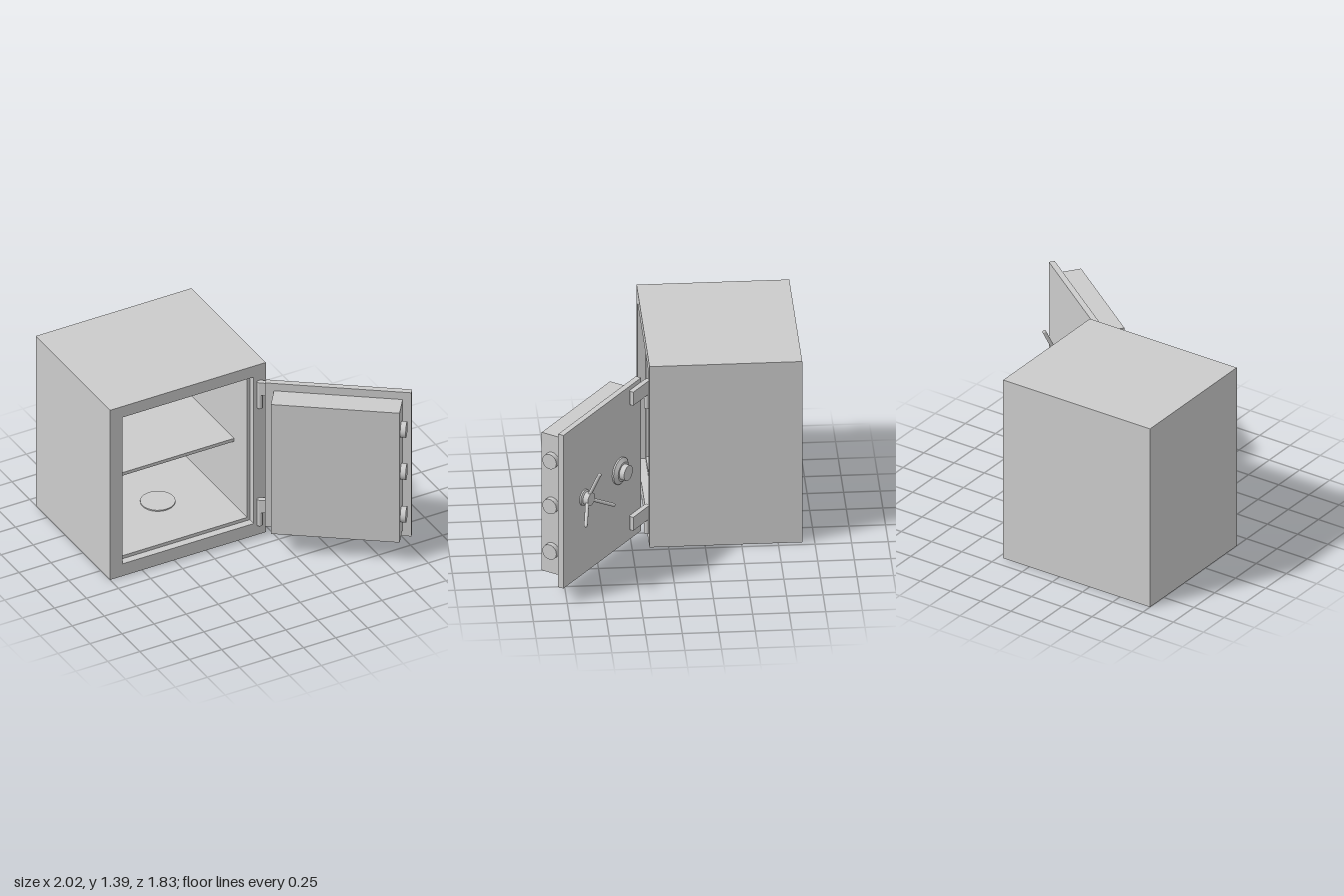
import * as THREE from 'three';

const material = new THREE.MeshStandardMaterial({ color: 0xcccccc });

function add(parent, name, geometry, x = 0, y = 0, z = 0) {
  const mesh = new THREE.Mesh(geometry, material);
  mesh.name = name;
  mesh.position.set(x, y, z);
  parent.add(mesh);
  return mesh;
}

// Box given by its minimum and maximum corners
function block(parent, name, [x0, y0, z0], [x1, y1, z1]) {
  return add(parent, name, new THREE.BoxGeometry(x1 - x0, y1 - y0, z1 - z0),
    (x0 + x1) / 2, (y0 + y1) / 2, (z0 + z1) / 2);
}

function rectangle(path, x0, y0, x1, y1) {
  return path.moveTo(x0, y0).lineTo(x1, y0).lineTo(x1, y1).lineTo(x0, y1).closePath();
}

// Rectangular ring of the cabinet, from z0 to z1, with an opening
function ring(parent, name, hole, z0, z1) {
  const shape = rectangle(new THREE.Shape(), -1, 0, 0.215, 1.39);
  shape.holes.push(rectangle(new THREE.Path(), ...hole));
  add(parent, name, new THREE.ExtrudeGeometry(shape, { depth: z1 - z0, bevelEnabled: false }), 0, 0, z0);
}

// Turned part on the door's outer face, its axis pointing away from the door
function turned(parent, name, profile, x, y) {
  const points = profile.map(([r, h]) => new THREE.Vector2(r, h));
  // each profile section is its own lathe so that the edges stay sharp
  const group = new THREE.Group();
  group.name = name;
  for (let i = 0; i < points.length - 1; i++) {
    add(group, name + 'Section', new THREE.LatheGeometry([points[i], points[i + 1]], 32));
  }
  group.position.set(x, y, 0);
  group.rotation.x = -Math.PI / 2;
  parent.add(group);
}

function rod(parent, name, a, b, radius) {
  const dir = b.clone().sub(a);
  const mesh = add(parent, name, new THREE.CylinderGeometry(radius, radius, dir.length(), 14));
  mesh.position.copy(a).add(b).multiplyScalar(0.5);
  mesh.quaternion.setFromUnitVectors(new THREE.Vector3(0, 1, 0), dir.normalize());
}

function buildCabinet() {
  const cabinet = new THREE.Group();
  cabinet.name = 'cabinet';
  ring(cabinet, 'doorRebate', [-0.905, 0.1, 0.12, 1.3], 0.075, 0.13);
  ring(cabinet, 'walls', [-0.885, 0.125, 0.1, 1.275], -0.84, 0.075);
  block(cabinet, 'backWall', [-1, 0, -0.915], [0.215, 1.39, -0.84]);
  block(cabinet, 'shelf', [-0.885, 0.64, -0.84], [0.1, 0.665, -0.11]);
  add(cabinet, 'floorCover', new THREE.CylinderGeometry(0.12, 0.12, 0.01, 32), -0.34, 0.129, -0.39);
  return cabinet;
}

// Door frame: x runs from the hinge edge to the free edge, z towards the inside
function buildDoor() {
  const door = new THREE.Group();
  door.name = 'door';
  block(door, 'doorPlate', [0, 0.115, 0], [1.005, 1.292, 0.042]);
  block(door, 'doorCore', [0.06, 0.172, 0.042], [0.945, 1.232, 0.212]);

  // Locking bolts on the free edge
  for (const y of [0.35, 0.7, 1.045]) {
    const bolt = add(door, 'lockingBolt', new THREE.CylinderGeometry(0.056, 0.056, 0.038, 32), 0.964, y, 0.127);
    bolt.rotation.z = -Math.PI / 2;
  }

  // Combination dial
  turned(door, 'dial', [[0.097, 0], [0.097, 0.012], [0.07, 0.032], [0.056, 0.032], [0.056, 0.07], [0, 0.07]], 0.278, 0.7);

  // Three-spoke handle
  turned(door, 'handleHub', [[0.058, 0], [0.058, 0.012], [0.046, 0.02], [0.046, 0.06], [0, 0.06]], 0.74, 0.7);
  for (let i = 0; i < 3; i++) {
    const angle = Math.PI / 2 + i * Math.PI * 2 / 3;
    const at = (r, z) => new THREE.Vector3(0.74 + r * Math.cos(angle), 0.7 + r * Math.sin(angle), z);
    rod(door, 'handleSpoke', at(0.02, -0.038), at(0.207, -0.126), 0.013);
    add(door, 'spokeTip', new THREE.SphereGeometry(0.013, 14, 10)).position.copy(at(0.207, -0.126));
  }

  // Hinges: rounded strap on the outer face with a pin below
  for (const y of [0.195, 1.157]) {
    const strap = new THREE.Shape();
    strap.moveTo(-0.045, 0).lineTo(0.15, 0).lineTo(0.16, 0.01).lineTo(0.16, 0.036).lineTo(-0.045, 0.036);
    strap.absarc(-0.045, 0.018, 0.018, Math.PI / 2, Math.PI * 1.5, false);
    const geometry = new THREE.ExtrudeGeometry(strap, { depth: 0.103, bevelEnabled: false, curveSegments: 12 });
    geometry.rotateX(-Math.PI / 2);
    add(door, 'hingeStrap', geometry, 0, y, 0);
    add(door, 'hingePin', new THREE.CylinderGeometry(0.018, 0.018, 0.112, 20), -0.045, y - 0.054, -0.018);
  }

  door.position.set(0.185, 0, 0.185);
  door.rotation.y = -Math.PI / 5;
  return door;
}

export function createModel() {
  const model = new THREE.Group();
  model.name = 'safe';
  model.add(buildCabinet(), buildDoor());
  return model;
}
